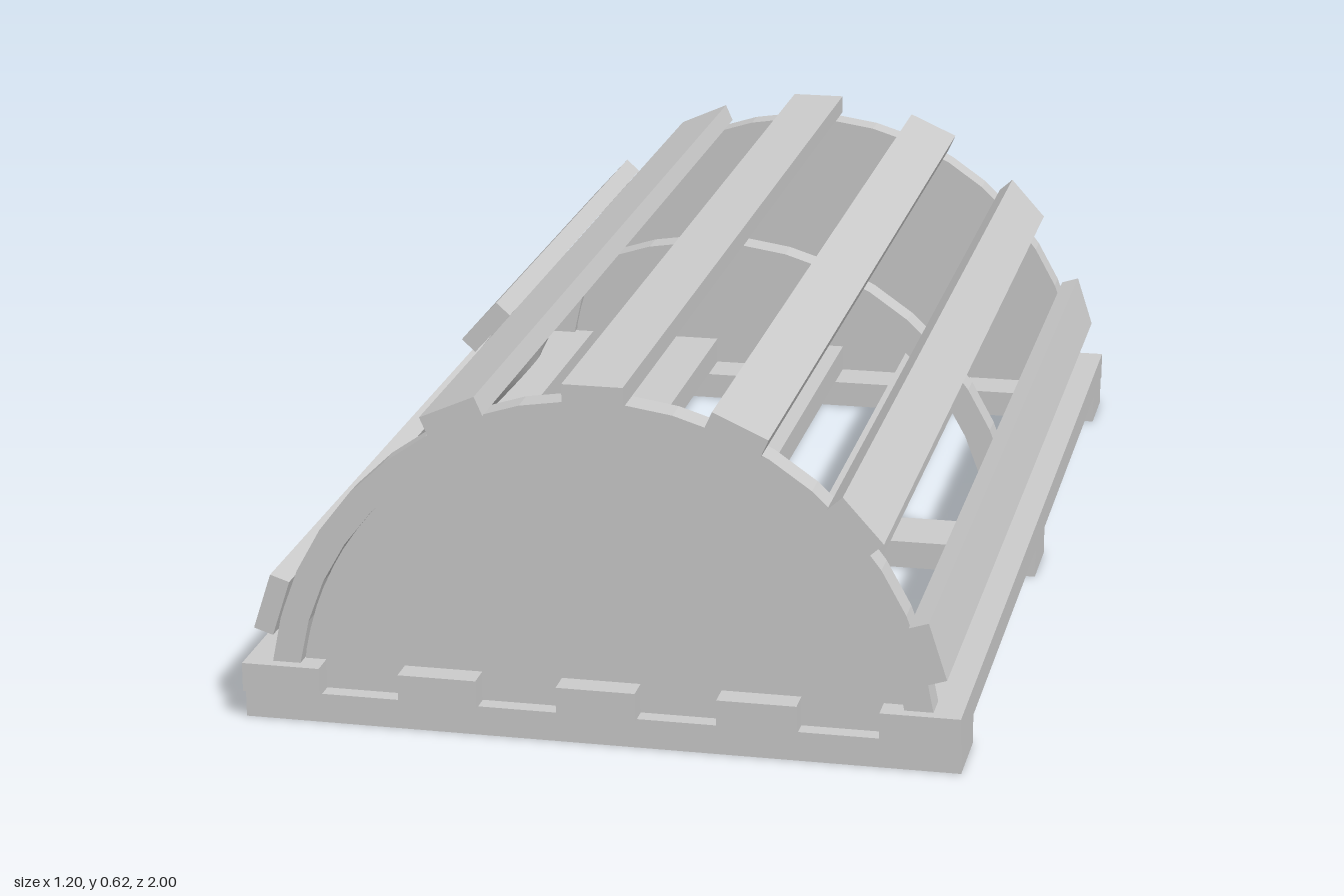
import * as THREE from 'three';

const CY = 0.03;        // height of the arch centre
const OUTER = 0.557;    // rib outer radius
const INNER = 0.51;     // rib inner radius
const SLAT = { w: 0.1, t: 0.034 };

export function createModel() {
  const group = new THREE.Group();
  const mat = new THREE.MeshStandardMaterial({ color: 0xcccccc, flatShading: true });
  const netMat = new THREE.MeshStandardMaterial({ color: 0xcccccc, side: THREE.DoubleSide });

  const add = (name, geo, x, y, z, material = mat) => {
    const m = new THREE.Mesh(geo, material);
    m.name = name;
    m.position.set(x, y, z);
    group.add(m);
    return m;
  };
  const box = (name, w, h, d, x, y, z) => add(name, new THREE.BoxGeometry(w, h, d), x, y, z);

  // Points of an arch, from -x over the top to +x, ending at height yEnd
  const arc = (r, yEnd, n = 19) => {
    const a = Math.acos((yEnd - CY) / r);
    return Array.from({ length: n + 1 }, (_, i) => {
      const t = -a + (2 * a * i) / n;
      return new THREE.Vector2(r * Math.sin(t), CY + r * Math.cos(t));
    });
  };
  const extrude = (pts, depth) => {
    const g = new THREE.ExtrudeGeometry(new THREE.Shape(pts), { depth, bevelEnabled: false });
    return g.translate(0, 0, -depth / 2);
  };

  // Base: cross beams under lengthwise slats
  for (const z of [-0.92, 0, 0.92]) box('crossBeam', 1.2, 0.05, 0.13, 0, 0.025, z);
  for (let i = -2; i <= 2; i++) box('baseSlat', 0.132, 0.05, 2, i * 0.267, 0.075, 0);

  // Bent ribs
  const ribGeo = extrude([...arc(OUTER, 0.1), ...arc(INNER, 0.1).reverse()], 0.05);
  for (const z of [-0.955, 0, 0.955]) add('rib', ribGeo, 0, 0, z);

  // Closed half-round ends, set back inside the ribs
  const endGeo = extrude(arc(INNER, 0.05), 0.012);
  for (const s of [-1, 1]) add('endPanel', endGeo, 0, 0, s * 0.95);

  // Slats around the arch; one on the -x side stops short at the entrance
  for (let i = -3; i <= 3; i++) {
    const a = THREE.MathUtils.degToRad(24 * i);
    const short = i === -2;
    const len = short ? 1.07 : 2;
    const r = 0.573;
    const slat = box(short ? 'shortSlat' : 'archSlat', SLAT.w, SLAT.t, len,
      r * Math.sin(a), CY + r * Math.cos(a), short ? -1 + len / 2 : 0);
    slat.rotation.z = -a;
  }

  // Entrance funnel: rectangle on the arch blending into an oval hole
  add('entranceFunnel', funnelGeometry(), 0, 0, 0, netMat);
  return group;
}

function funnelGeometry() {
  const SEG = 48, ROWS = 8;
  const rad = THREE.MathUtils.degToRad;
  const pos = [], idx = [];
  for (let j = 0; j <= ROWS; j++) {
    const t = j / ROWS;
    for (let i = 0; i <= SEG; i++) {
      const th = (i / SEG) * Math.PI * 2;
      const c = Math.cos(th), s = Math.sin(th);
      const k = 1 / Math.max(Math.abs(c), Math.abs(s));
      // outer rectangle, in polar form about the arch centre
      const a0 = rad(47 + 24 * s * k), z0 = 0.48 + 0.455 * c * k, r0 = 0.555;
      // flat oval hole facing 45 degrees up
      const off = 0.142 * s;
      const a1 = rad(45) + Math.atan2(off, 0.48), r1 = Math.hypot(0.48, off), z1 = 0.44 + 0.2 * c;
      const a = a0 + (a1 - a0) * t, r = r0 + (r1 - r0) * t, z = z0 + (z1 - z0) * t;
      pos.push(-r * Math.sin(a), CY + r * Math.cos(a), z);
    }
  }
  const row = SEG + 1;
  for (let j = 0; j < ROWS; j++) {
    for (let i = 0; i < SEG; i++) {
      const p = j * row + i;
      idx.push(p, p + row, p + 1, p + 1, p + row, p + row + 1);
    }
  }
  const g = new THREE.BufferGeometry();
  g.setAttribute('position', new THREE.Float32BufferAttribute(pos, 3));
  g.setIndex(idx);
  g.computeVertexNormals();
  return g;
}
